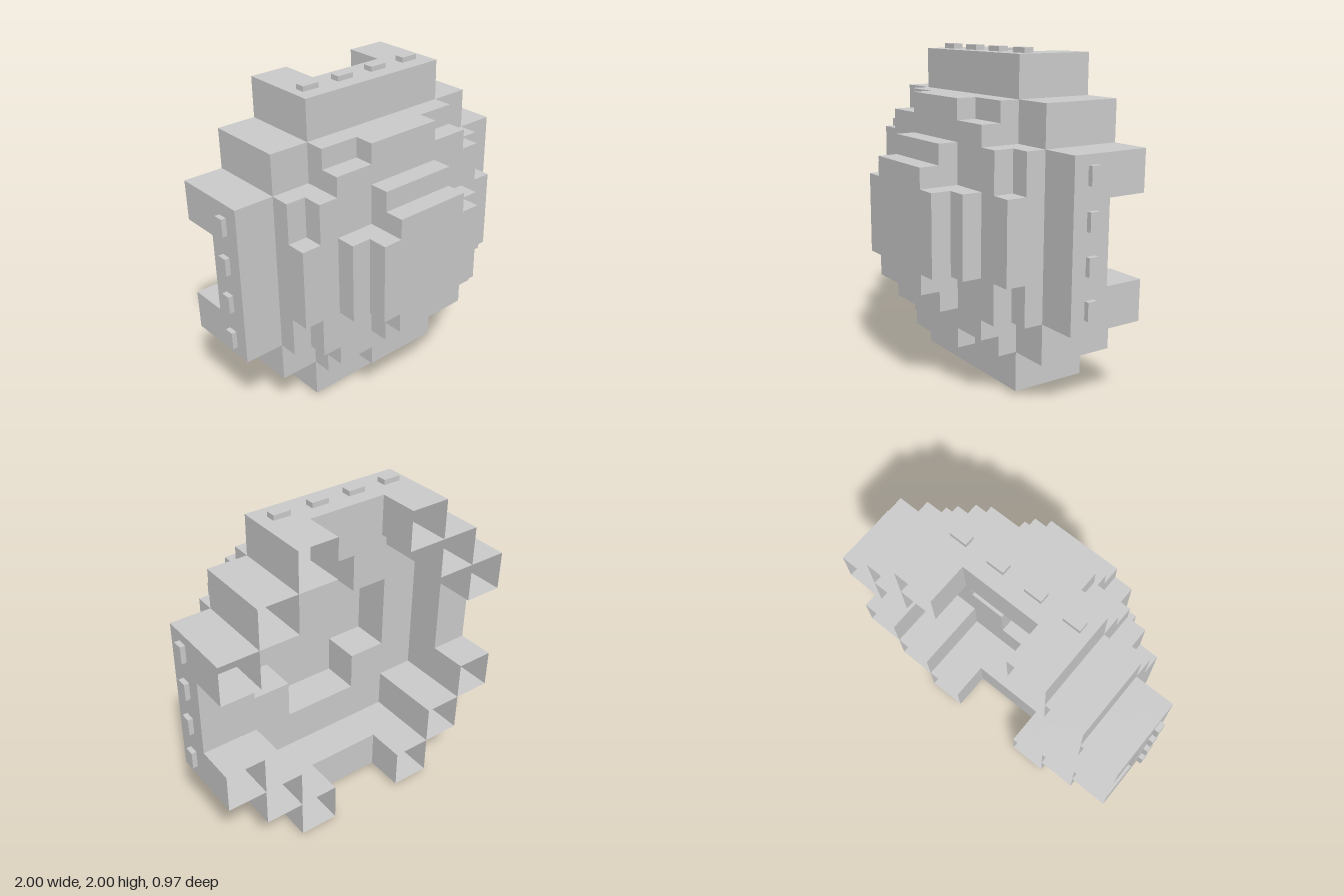
import * as THREE from 'three';

const CELL = 0.2425; // size of one block
const MID = 1;       // height of the centre

// Builds the outer faces of all half-blocks for which solid(x, y, z) is true
// (|x|, |y| and z in blocks, measured at the half-block's centre).
function blockGeometry(solid, z0, z1, openBack = false) {
  const pos = [], nor = [];
  const filled = (p) => p[2] > z0 && p[2] < z1 && solid(Math.abs(p[0]), Math.abs(p[1]), p[2]);
  const addFace = (p, axis, sign) => {
    const u = (axis + 1) % 3, v = (axis + 2) % 3;
    const corners = [[-1, -1], [1, -1], [1, 1], [-1, 1]].map(([a, b]) => {
      const c = [...p];
      c[axis] += sign * 0.25;
      c[u] += a * sign * 0.25;
      c[v] += b * 0.25;
      return c.map((n) => n * CELL);
    });
    const n = [0, 0, 0];
    n[axis] = sign;
    for (const i of [0, 1, 2, 0, 2, 3]) {
      pos.push(...corners[i]);
      nor.push(...n);
    }
  };
  for (let x = -3.75; x < 4; x += 0.5)
    for (let y = -3.75; y < 4; y += 0.5)
      for (let z = z0 + 0.25; z < z1; z += 0.5) {
        const p = [x, y, z];
        if (!filled(p)) continue;
        for (let axis = 0; axis < 3; axis++)
          for (const sign of [-1, 1]) {
            const q = [...p];
            q[axis] += sign * 0.5;
            const cutFace = openBack && axis === 2 && q[2] < z0;
            if (!filled(q) && !cutFace) addFace(p, axis, sign);
          }
      }
  const g = new THREE.BufferGeometry();
  g.setAttribute('position', new THREE.Float32BufferAttribute(pos, 3));
  g.setAttribute('normal', new THREE.Float32BufferAttribute(nor, 3));
  return g;
}

// Outer ring: stepped circle, with a window at the back of each of its four sides
function ringSolid(x, y, z) {
  const a = Math.floor(x), b = Math.floor(y);
  const onRing = (b === 3 && a < 2) || (a === 3 && b < 2) || (a === 2 && b === 2);
  return onRing && !(z < -1 && Math.min(a, b) === 0);
}

// Middle ring: one step further in, with small notches beside its corners
function stepSolid(x, y, z) {
  const a = Math.floor(x), b = Math.floor(y);
  const onStep = (b === 2 && a < 2) || (a === 2 && b < 2) || (a === 1 && b === 1);
  const notch = z > 0.5 && Math.max(x, y) > 2.5 && Math.min(x, y) > 1;
  return onStep && !notch;
}

// Front plate: a cross whose arms step down by half a block
function plateSolid(x, y, z) {
  const reach = z > 1.5 ? 1.5 : 2;
  return Math.min(x, y) < 1 && Math.max(x, y) < reach;
}

export function createModel() {
  const model = new THREE.Group();
  const material = new THREE.MeshStandardMaterial({ color: 0xcccccc, side: THREE.DoubleSide });
  const add = (name, geometry, parent = model) => {
    const mesh = new THREE.Mesh(geometry, material);
    mesh.name = name;
    parent.add(mesh);
    return mesh;
  };

  // Shell layers from back to front
  add('outerRing', blockGeometry(ringSolid, -2, 0, true)).position.y = MID;
  add('middleRing', blockGeometry(stepSolid, 0, 1)).position.y = MID;
  add('frontPlate', blockGeometry(plateSolid, 1, 2)).position.y = MID;

  // Four studs on each side of the outer ring
  const stud = new THREE.BoxGeometry(0.107, 0.03, 0.06);
  ['top', 'left', 'bottom', 'right'].forEach((side, i) => {
    const row = new THREE.Group();
    row.name = ['top', 'rightSide', 'bottom', 'leftSide'][i] + 'Studs';
    for (let k = 0; k < 4; k++)
      add('stud', stud, row).position.set((k - 1.5) * CELL - 0.011, 4 * CELL + 0.015, -CELL / 2);
    row.position.y = MID;
    row.rotation.z = i * Math.PI / 2;
    model.add(row);
  });
  return model;
}
